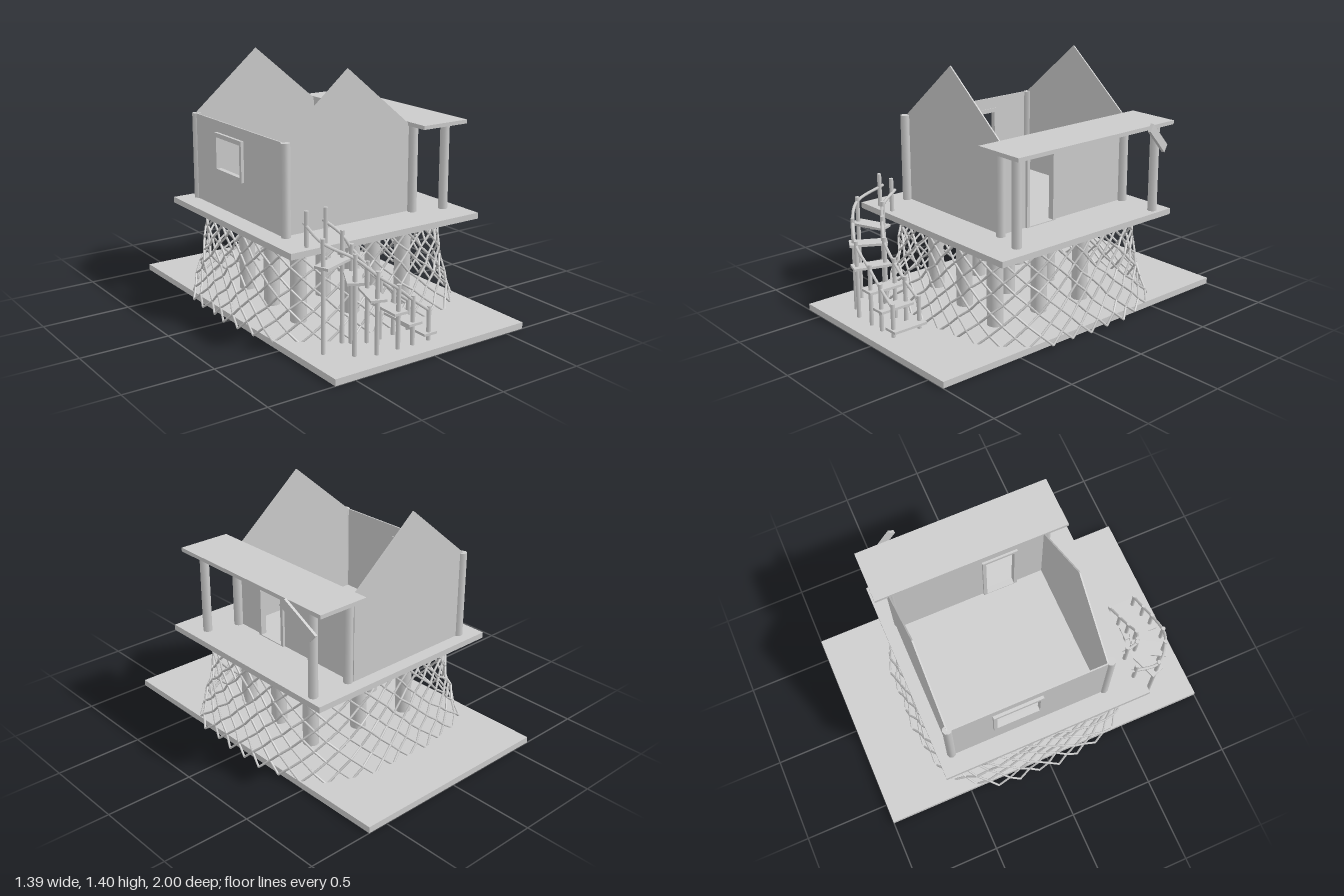
import * as THREE from 'three';
import { mergeGeometries } from 'three/addons/utils/BufferGeometryUtils.js';

const material = new THREE.MeshStandardMaterial({ color: 0xcccccc });
const V = (x, y, z) => new THREE.Vector3(x, y, z);

export function createModel() {
  const root = new THREE.Group();

  const add = (name, geometry) => {
    const mesh = new THREE.Mesh(geometry, material);
    mesh.name = name;
    root.add(mesh);
    return mesh;
  };
  // Box given by its min and max corners
  const box = (name, x0, x1, y0, y1, z0, z1) =>
    add(name, new THREE.BoxGeometry(x1 - x0, y1 - y0, z1 - z0)
      .translate((x0 + x1) / 2, (y0 + y1) / 2, (z0 + z1) / 2));
  // Upright round post
  const post = (name, x, z, y0, y1, r, sides = 10) =>
    add(name, new THREE.CylinderGeometry(r, r, y1 - y0, sides).translate(x, (y0 + y1) / 2, z));
  // Rod between two points
  const rod = (a, b, r, sides = 6) => {
    const d = b.clone().sub(a);
    const g = new THREE.CylinderGeometry(r, r, d.length(), sides);
    g.applyQuaternion(new THREE.Quaternion().setFromUnitVectors(V(0, 1, 0), d.normalize()));
    return g.translate((a.x + b.x) / 2, (a.y + b.y) / 2, (a.z + b.z) / 2);
  };
  // Thin panel in the xy plane, optionally with a rectangular hole [x0, x1, y0, y1]
  const rect = (x0, x1, y0, y1) => [[x0, y0], [x1, y0], [x1, y1], [x0, y1]];
  const panel = (name, points, depth, hole) => {
    const shape = new THREE.Shape(points.map(p => new THREE.Vector2(...p)));
    if (hole) shape.holes.push(new THREE.Path(rect(...hole).map(p => new THREE.Vector2(...p))));
    return add(name, new THREE.ExtrudeGeometry(shape, { depth, bevelEnabled: false }));
  };
  // Panel facing sideways, its shape measured in z and y
  const sidePanel = (name, x, points, depth, hole) => {
    const mesh = panel(name, points, depth, hole);
    mesh.rotation.y = -Math.PI / 2;
    mesh.position.x = x;
    return mesh;
  };

  // Ground slab, deck and piles
  box('groundSlab', -0.62, 0.62, 0, 0.036, -1, 1);
  box('deck', -0.62, 0.62, 0.526, 0.56, -0.63, 0.62);
  for (let i = -1; i <= 1; i++) {
    for (let j = -1; j <= 1; j++) {
      post('pile', -0.02 + 0.32 * i - 0.02 * j, 0.035 + 0.3 * j + 0.045 * i, 0.03, 0.53, 0.046, 16);
    }
  }

  // Open-topped house: two gables and two side walls
  const gable = [[-0.5, 0.56], [0.315, 0.56], [0.315, 1.06], [-0.095, 1.4], [-0.5, 1.06]];
  panel('frontGable', gable, 0.008).position.z = 0.361;
  panel('backGable', gable, 0.008).position.z = -0.555;
  const sideWall = rect(-0.55, 0.365, 0.56, 1.06);
  const door = [0.01, 0.18, 0.565, 0.985];
  const win = [-0.28, -0.03, 0.79, 0.97];
  sidePanel('leftSideWall', 0.322, sideWall, 0.008, door);
  sidePanel('rightSideWall', -0.5, sideWall, 0.008, win);
  sidePanel('doorFrame', 0.336, rect(-0.01, 0.2, 0.56, 1.005), 0.035, door);
  sidePanel('windowFrame', -0.495, rect(-0.3, -0.01, 0.765, 0.995), 0.03, win);
  for (const [x, z] of [[-0.497, 0.385], [-0.497, -0.55], [0.337, 0.387], [0.337, -0.535],
    [0.52, 0.437], [0.573, -0.53]]) post('housePost', x, z, 0.55, 1.06, 0.026, 8);

  // Porch roof and slanted board on the back porch post
  box('porchRoof', 0.31, 0.615, 1.048, 1.07, -0.635, 0.51);
  const low = V(0.607, 0.92, -0.575), high = V(0.655, 1.075, -0.4);
  const board = add('slantedBoard', new THREE.BoxGeometry(0.018, 0.05, low.distanceTo(high)));
  board.position.copy(low).lerp(high, 0.5);
  board.lookAt(high);

  // Net skirt: diamond mesh on a rounded-square outline flaring to the ground
  const around = 34, rows = 9;
  const knot = (k, row) => {
    const a = ((k + (row % 2) / 2) / around) * Math.PI * 2;
    const t = row / rows;
    const c = Math.cos(a), s = Math.sin(a);
    const n = 3.1;
    const r = 1 / Math.pow(Math.abs(c) ** n + Math.abs(s) ** n, 1 / n);
    const flare = 0.09 * t * t;
    const wobble = 0.008 * Math.sin(k * 2.3 + row * 1.7);
    return V(c * r * (0.592 + flare + wobble), 0.515 - 0.49 * t + wobble * Math.sin(t * Math.PI),
      -0.015 + s * r * (0.575 + flare + wobble));
  };
  const strands = [];
  for (let row = 0; row < rows; row++) {
    for (let k = 0; k < around; k++) {
      const a = knot(k, row);
      const side = row % 2 ? 1 : -1;
      strands.push(rod(a, knot(k, row + 1), 0.0065));
      strands.push(rod(a, knot((k + side + around) % around, row + 1), 0.0065));
    }
  }
  add('netSkirt', mergeGeometries(strands));

  // Curved stair: each step as [outer x, outer z, inner x, inner z, height]
  const steps = [
    [0.05, 0.89, 0.05, 0.72, 0.075], [-0.057, 0.89, -0.057, 0.73, 0.155],
    [-0.152, 0.89, -0.148, 0.735, 0.235], [-0.283, 0.885, -0.233, 0.735, 0.33],
    [-0.385, 0.835, -0.305, 0.695, 0.425], [-0.5, 0.725, -0.34, 0.665, 0.495],
  ];
  const outerRail = [], innerRail = [];
  for (const [ox, oz, ix, iz, y] of steps) {
    const tread = add('stairTread', new THREE.BoxGeometry(0.085, 0.014, 0.21));
    tread.position.set((ox + ix) / 2, y, (oz + iz) / 2);
    tread.rotation.y = Math.atan2(ox - ix, oz - iz);
    post('outerStairPost', ox, oz, 0.03, y + 0.15, 0.012, 8);
    post('innerStairPost', ix, iz, 0.03, y + 0.15, 0.012, 8);
    outerRail.push(V(ox, y + 0.125, oz));
    innerRail.push(V(ix, y + 0.125, iz));
  }
  for (const [x, rail] of [[-0.497, outerRail], [-0.38, innerRail]]) {
    post('landingPost', x, 0.575, 0.55, 0.75, 0.012, 8);
    rail.push(V(x, 0.68, 0.55));
    add('stairRail', new THREE.TubeGeometry(new THREE.CatmullRomCurve3(rail), 36, 0.009, 6));
  }

  return root;
}
